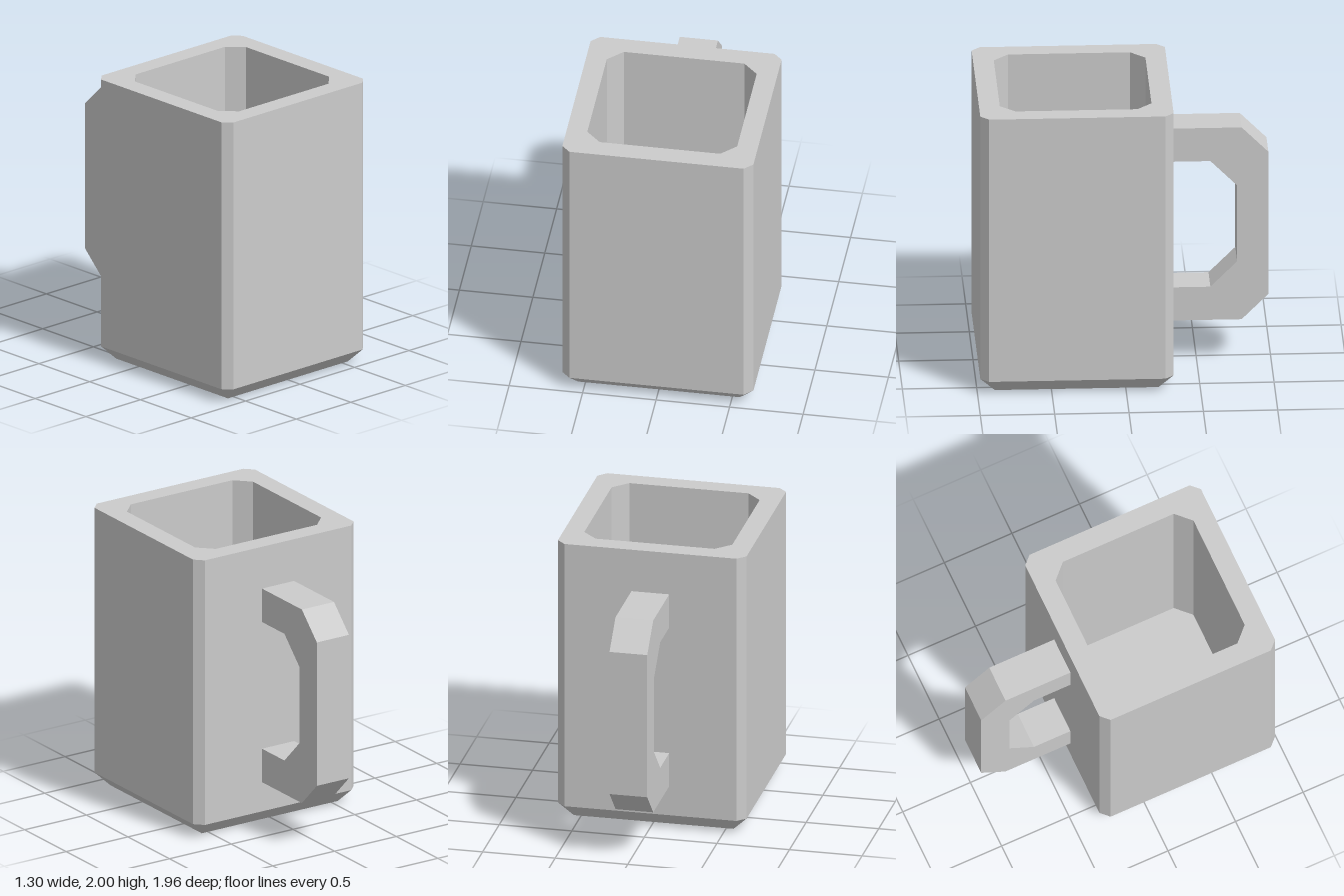
import * as THREE from 'three';

const material = new THREE.MeshStandardMaterial({ color: 0xcccccc, flatShading: true });

// Square ring with cut corners, counter-clockwise seen from above
function ring([half, cut, y]) {
  const e = half - cut;
  return [[half, e], [half, -e], [e, -half], [-e, -half], [-half, -e], [-half, e], [-e, half], [e, half]]
    .map(([x, z]) => new THREE.Vector3(x, y, z));
}

// Flat-shaded skin through a series of rings, leaving out collapsed triangles
function loft(sections) {
  const rings = sections.map(ring);
  const positions = [];
  const addTriangle = (a, b, c) => {
    if (new THREE.Triangle(a, b, c).getArea() > 1e-7) {
      for (const p of [a, b, c]) positions.push(p.x, p.y, p.z);
    }
  };
  for (let k = 0; k < rings.length - 1; k++) {
    const lower = rings[k], upper = rings[k + 1];
    for (let i = 0; i < 8; i++) {
      const j = (i + 1) % 8;
      addTriangle(lower[i], lower[j], upper[j]);
      addTriangle(lower[i], upper[j], upper[i]);
    }
  }
  const geometry = new THREE.BufferGeometry();
  geometry.setAttribute('position', new THREE.Float32BufferAttribute(positions, 3));
  geometry.computeVertexNormals();
  return geometry;
}

export function createModel() {
  const mug = new THREE.Group();
  mug.name = 'mug';

  // Hollow body: underside, bevel, outer wall, rim, inner wall, inner floor
  const body = new THREE.Mesh(loft([
    [0, 0, 0],
    [0.55, 0, 0],
    [0.65, 0.057, 0.1],
    [0.65, 0.057, 2],
    [0.51, 0.1, 2],
    [0.51, 0.1, 0.15],
    [0, 0, 0.15],
  ]), material);
  body.name = 'body';
  body.position.z = 0.33;
  mug.add(body);

  // Angular handle: outline as (distance to the back, height)
  const outline = [
    [0.32, 0.31], [0.8, 0.31], [0.98, 0.49], [0.98, 1.52], [0.8, 1.7], [0.32, 1.7],
    [0.32, 1.46], [0.59, 1.46], [0.77, 1.28], [0.77, 0.73], [0.59, 0.55], [0.32, 0.55],
  ];
  const shape = new THREE.Shape(outline.map(([x, y]) => new THREE.Vector2(x, y)));
  const handleGeometry = new THREE.ExtrudeGeometry(shape, { depth: 0.26, bevelEnabled: false });
  handleGeometry.translate(0, 0, -0.13).rotateY(Math.PI / 2);
  const handle = new THREE.Mesh(handleGeometry, material);
  handle.name = 'handle';
  mug.add(handle);

  return mug;
}
